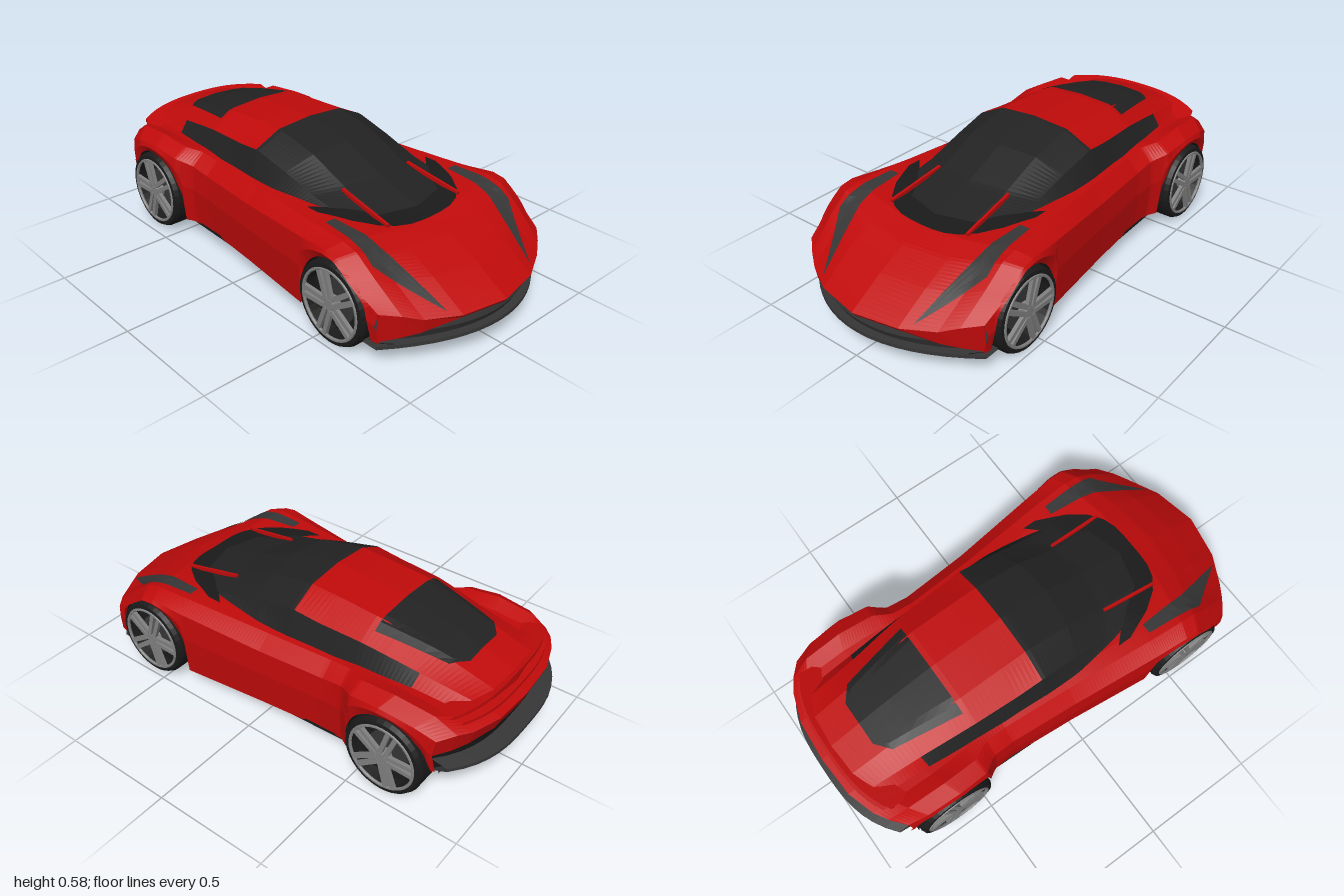
import * as THREE from 'three';

const mat = (color) => new THREE.MeshStandardMaterial({ color, flatShading: true, side: THREE.DoubleSide });
const RED = mat(0xc00a0a), GLASS = mat(0x222222), DARK = mat(0x1a1a1a), GREY = mat(0x363636), RIM = mat(0x808080);
const lerp = THREE.MathUtils.lerp;

// Interpolate a row of a key table whose first entry is z (descending)
function sample(keys, z) {
  let i = 0;
  while (i < keys.length - 2 && z < keys[i + 1][0]) i++;
  const a = keys[i], b = keys[i + 1], t = THREE.MathUtils.clamp((a[0] - z) / (a[0] - b[0]), 0, 1);
  return a.map((v, k) => lerp(v, b[k], t));
}

// How far the nose (dir 1) or tail (dir -1) curves back at x
const curve = (dir, x) => (dir > 0 ? 0.23 * (x / 0.48) ** 2 : 0.2 * Math.abs(x / 0.48) ** 3);

// Half row (centre to +x) extended to both sides
const full = (half) => [...half.slice(1).reverse().map(([x, y, z]) => [-x, y, z]), ...half];

// Surface through rows of points; keep(i, j) selects cells
function surface(name, rows, material, keep = () => true) {
  const n = rows[0].length, index = [];
  for (let i = 0; i < rows.length - 1; i++) {
    for (let j = 0; j < n - 1; j++) {
      if (!keep(i, j)) continue;
      const a = i * n + j, b = a + n;
      index.push(a, a + 1, b, a + 1, b + 1, b);
    }
  }
  const geo = new THREE.BufferGeometry();
  geo.setAttribute('position', new THREE.Float32BufferAttribute(rows.flat(2), 3));
  geo.setIndex(index);
  geo.computeVertexNormals();
  const mesh = new THREE.Mesh(geo, material);
  mesh.name = name;
  return mesh;
}

// Cross-section of [dz, y] points swept along the curved nose or tail
function band(name, dir, half, z0, section, material) {
  const rows = [];
  for (let i = 0; i <= 16; i++) {
    const t = i / 8 - 1, x = t * half;
    rows.push(section(Math.abs(t)).map(([dz, y]) => [x, y, dir * (z0 - curve(dir, x) + dz)]));
  }
  return surface(name, dir > 0 ? rows : rows.reverse(), material);
}

// Patch between two plan curves of [x, z], laid on a mesh from above
function drape(name, target, left, right, material, n = 12, lift = 0.004) {
  const ray = new THREE.Raycaster(), down = new THREE.Vector3(0, -1, 0);
  const at = (pts, t) => {
    const s = t * (pts.length - 1), i = Math.min(Math.floor(s), pts.length - 2);
    return pts[i].map((v, k) => lerp(v, pts[i + 1][k], s - i));
  };
  const rows = [];
  for (let i = 0; i <= n; i++) {
    const a = at(left, i / n), b = at(right, i / n), row = [];
    for (let j = 0; j <= n; j++) {
      const x = lerp(a[0], b[0], j / n), z = lerp(a[1], b[1], j / n);
      ray.set(new THREE.Vector3(x, 2, z), down);
      const hit = ray.intersectObject(target)[0];
      row.push([x, (hit ? hit.point.y : 0.4) + lift, z]);
    }
    rows.push(row);
  }
  return surface(name, rows, material);
}

const FRONT = 0.57, REAR = -0.63, HUB = 0.175, ARCH = 0.182;

// z, half width, heights from centre out to shoulder, lower edge
const BODY = [
  [1, 0.465, 0.2, 0.2, 0.205, 0.225, 0.235, 0.11],
  [0.85, 0.483, 0.29, 0.295, 0.3, 0.325, 0.31, 0.1],
  [0.72, 0.485, 0.355, 0.36, 0.375, 0.395, 0.38, 0.08],
  [0.62, 0.483, 0.385, 0.395, 0.405, 0.41, 0.39, 0.08],
  [0.4, 0.47, 0.405, 0.41, 0.41, 0.41, 0.375, 0.075],
  [0, 0.424, 0.4, 0.4, 0.41, 0.4, 0.345, 0.075],
  [-0.3, 0.4, 0.4, 0.4, 0.41, 0.4, 0.345, 0.08],
  [-0.4, 0.405, 0.4, 0.4, 0.41, 0.41, 0.36, 0.085],
  [-0.49, 0.45, 0.4, 0.4, 0.41, 0.42, 0.385, 0.09],
  [-0.68, 0.458, 0.4, 0.4, 0.41, 0.435, 0.4, 0.12],
  [-0.88, 0.45, 0.39, 0.39, 0.4, 0.42, 0.385, 0.17],
  [-0.97, 0.43, 0.36, 0.36, 0.36, 0.365, 0.35, 0.2],
];
function bodyRow(z) {
  const [, w, y0, y1, y2, y3, y4, low] = sample(BODY, z);
  const bow = z > 0 ? -Math.max(0, (z - 0.4) / 0.6) : Math.max(0, (-z - 0.4) / 0.57);
  const place = (x, y) => [x, y, z + bow * curve(z, x)];
  const zo = place(w * 0.98, 0)[2];
  // Lower edge lifts over the wheels
  let edge = low;
  for (const c of [FRONT, REAR]) {
    const d = Math.abs(zo - c);
    if (d < ARCH) edge = Math.max(edge, HUB + Math.sqrt(ARCH ** 2 - d ** 2));
  }
  return [place(0, y0), place(0.42 * w, y1), place(0.7 * w, y2), place(0.84 * w, y3),
    place(0.98 * w, y4), place(w, lerp(y4, edge, 0.4)), place(0.97 * w, edge)];
}

// z, then x of three outer columns, then heights from centre to base
const CABIN = [
  [0.55, 0.16, 0.27, 0.31, 0.405, 0.405, 0.402, 0.395],
  [0.35, 0.165, 0.28, 0.325, 0.455, 0.45, 0.43, 0.395],
  [0.15, 0.17, 0.285, 0.335, 0.54, 0.53, 0.475, 0.395],
  [-0.07, 0.17, 0.29, 0.33, 0.585, 0.572, 0.515, 0.395],
  [-0.2, 0.17, 0.286, 0.322, 0.578, 0.568, 0.503, 0.395],
  [-0.4, 0.17, 0.275, 0.315, 0.567, 0.557, 0.495, 0.395],
  [-0.65, 0.15, 0.25, 0.3, 0.515, 0.507, 0.458, 0.395],
  [-0.92, 0.14, 0.23, 0.29, 0.44, 0.437, 0.425, 0.385],
];
function cabinRow(z) {
  const [, xa, xb, xc, y0, y1, y2, y3] = sample(CABIN, z);
  const bow = z > -0.1 ? -0.4 * (z + 0.1) / 0.65 : 0.2 * Math.max(0, (-z - 0.5) / 0.42);
  return [[0, y0], [xa, y1], [xb, y2], [xc, y3]].map(([x, y]) => [x, y, z + bow * (x / 0.48) ** 2]);
}

function wheel(name, x, z) {
  const g = new THREE.Group();
  g.name = name;
  const add = (part, geo, m) => {
    const mesh = new THREE.Mesh(geo, m);
    mesh.name = part;
    g.add(mesh);
    return mesh;
  };
  const profile = [[0, -0.075], [0.165, -0.075], [0.174, -0.06], [0.174, 0.065], [0.165, 0.083],
    [0.146, 0.085], [0.138, 0.03], [0, 0.03]].map(([r, h]) => new THREE.Vector2(r, h));
  add('tyre', new THREE.LatheGeometry(profile, 36), DARK);
  const ring = add('rimRing', new THREE.TorusGeometry(0.143, 0.007, 6, 36), RIM);
  ring.rotation.x = Math.PI / 2;
  ring.position.y = 0.083;
  add('brakeDisc', new THREE.CylinderGeometry(0.09, 0.09, 0.012, 24), GREY).position.y = 0.038;
  add('hub', new THREE.CylinderGeometry(0.024, 0.032, 0.035, 10), RIM).position.y = 0.07;
  // Five twin spokes
  for (let i = 0; i < 5; i++) {
    for (const s of [-1, 1]) {
      const geo = new THREE.BoxGeometry(0.12, 0.016, 0.019);
      geo.translate(0.083, 0.08, 0);
      geo.rotateY(s * 0.04);
      geo.translate(0, 0, -s * 0.012);
      geo.rotateY(i * Math.PI * 0.4 + Math.PI / 2);
      add('spoke', geo, RIM);
    }
  }
  g.rotation.z = x > 0 ? -Math.PI / 2 : Math.PI / 2;
  g.position.set(x, HUB, z);
  return g;
}

export function createModel() {
  const car = new THREE.Group();
  car.name = 'sportsCar';

  // Body shell with open wheel arches
  const rows = [];
  for (let i = 0; i <= 130; i++) rows.push(bodyRow(1 - 1.97 * i / 130));
  const body = surface('bodyShell', rows.map(full), RED);
  car.add(body);

  // Nose and tail panels hang from the end rows of the shell
  const hang = (row, bottom, dz) => {
    const top = full(row.slice(0, 5));
    return [top, top.map(([x, y, z]) => [x, Math.min(y, bottom(Math.abs(x))), z + dz])];
  };
  const noseEdge = (x) => (x < 0.2 ? 0.185 : lerp(0.18, 0.11, (x - 0.2) / 0.26));
  car.add(surface('nosePanel', hang(rows[0], noseEdge, -0.01).reverse(), RED));
  car.add(surface('tailPanel', hang(rows[130], (x) => 0.3 - 0.2 * Math.max(0, x - 0.25), 0.02), RED));

  // Cabin: roof, glass and tail share one loft
  const zc = [];
  for (let i = 0; i <= 70; i++) zc.push(0.55 - 1.47 * i / 70);
  const cabin = zc.map((z) => full(cabinRow(z)));
  const isGlass = (i, j) => (j === 0 || j === 5 ? zc[i] > -0.66 : zc[i] > -0.07);
  const roof = surface('roof', cabin, RED, (i, j) => !isGlass(i, j));
  car.add(roof, surface('cabinGlass', cabin, GLASS, isGlass));
  const last = cabin[70];
  car.add(surface('cabinTail', [last, last.map(([x, , z]) => [x, 0.37, z])], RED));
  car.add(drape('rearWindow', roof, [[-0.22, -0.42], [-0.165, -0.72], [-0.1, -0.77]],
    [[0.22, -0.42], [0.165, -0.72], [0.1, -0.77]], GLASS));

  // Dark cowl between bonnet and windscreen
  const cowl = (z0, drop, power) => Array.from({ length: 13 }, (_, i) => {
    const t = Math.abs(i / 6 - 1);
    return [(i / 6 - 1) * 0.335, z0 - drop * t ** power];
  });
  car.add(drape('cowl', body, cowl(0.622, 0.28, 3.5), cowl(0.47, 0.19, 2), DARK, 24));

  for (const s of [1, -1]) {
    const side = s > 0 ? 'left' : 'right';
    car.add(drape(side + 'Headlight', body, [[0.32, 0.42], [0.305, 0.65], [0.238, 0.925]].map(([x, z]) => [s * x, z]),
      [[0.365, 0.42], [0.385, 0.69], [0.238, 0.925]].map(([x, z]) => [s * x, z]), GREY));

    // Strut from bonnet to windscreen
    const strut = new THREE.Mesh(new THREE.BoxGeometry(0.012, 0.016, 0.27), RED);
    strut.name = side + 'Strut';
    strut.position.set(s * 0.19, 0.424, 0.45);
    strut.rotation.set(0.17, s * 0.06, 0);
    car.add(strut);

    for (const [end, z, x] of [['Front', FRONT, 0.398], ['Rear', REAR, 0.374]]) {
      car.add(wheel(side + end + 'Wheel', s * x, z));
      const liner = new THREE.Mesh(new THREE.CylinderGeometry(ARCH, ARCH, 0.15, 24, 1, true, 0, Math.PI), DARK);
      liner.name = side + end + 'ArchLiner';
      liner.rotation.z = Math.PI / 2;
      liner.position.set(s * (x - 0.015), HUB, z);
      car.add(liner);
    }
  }

  // Floor, narrowed between the wheels: z, half width, height, wall top
  const floor = [[0.82, 0.4, 0.085, 0.1], [0.76, 0.44, 0.075, 0.09], [0.75, 0.31, 0.075, 0.2], [0.57, 0.31, 0.073, 0.35],
    [0.39, 0.31, 0.072, 0.35], [0.38, 0.445, 0.072, 0.09], [0, 0.4, 0.072, 0.09], [-0.44, 0.39, 0.078, 0.09],
    [-0.45, 0.3, 0.08, 0.36], [-0.81, 0.3, 0.14, 0.36], [-0.83, 0.37, 0.145, 0.16]];
  car.add(surface('floor', floor.map(([z, w, y, top]) => full([[0, y, z], [w, y, z], [w, top, z]])).reverse(), DARK));

  // Front grille and splitter
  car.add(band('grille', 1, 0.45, 0.965, () => [[-0.02, 0.1], [0, 0.14], [-0.01, 0.2]], GREY));
  car.add(band('splitter', 1, 0.45, 0.985, (t) => {
    const d = 0.025 * t * t;
    return [[-0.22, 0.1 - d], [0, 0.115 - d], [0, 0.1 - d], [-0.06, 0.075], [-0.22, 0.07]];
  }, GREY));

  // Rear diffuser, recess, tail lip and light bar
  car.add(band('diffuser', -1, 0.4, 0.995, () => [[-0.22, 0.14], [-0.12, 0.155], [0, 0.21], [0, 0.225], [-0.07, 0.235]], GREY));
  car.add(band('rearRecess', -1, 0.41, 0.94, () => [[-0.03, 0.17], [0, 0.31]], DARK));
  car.add(band('tailLip', -1, 0.34, 0.925, (t) => {
    const d = 0.025 * t * t;
    return [[-0.1, 0.425 - d], [0, 0.447 - d], [0, 0.433 - d], [-0.07, 0.395 - d]];
  }, RED));
  car.add(band('lightBar', -1, 0.32, 0.94, () => [[-0.08, 0.395], [0, 0.394], [0, 0.382], [-0.08, 0.38]], RED));
  return car;
}
